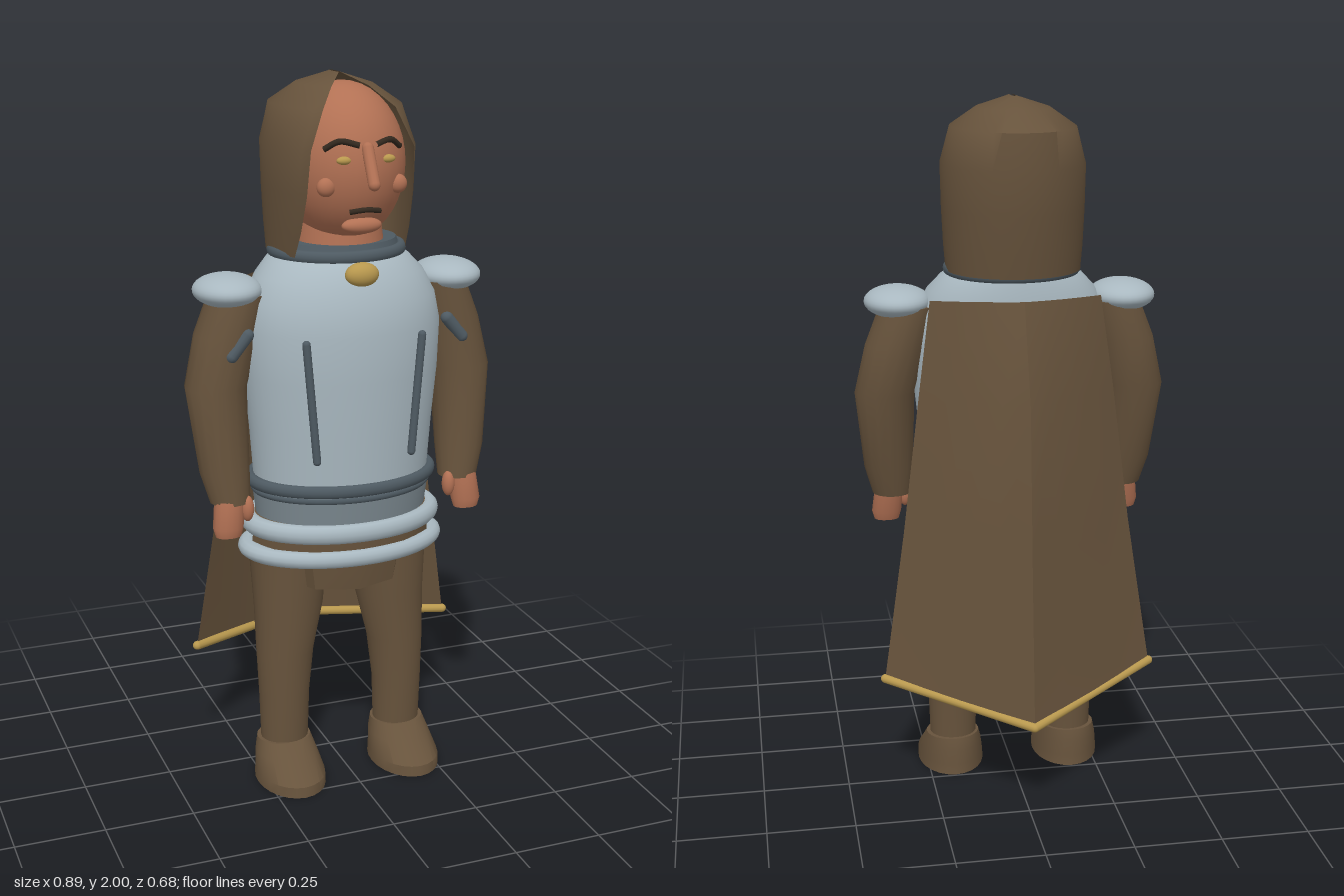
import * as THREE from 'three';
import { toCreasedNormals } from 'three/addons/utils/BufferGeometryUtils.js';

const V = (x, y, z) => new THREE.Vector3(x, y, z);

// Surface through rows of points, each row having the same count
function skin(rows, crease = 0.7) {
  const pos = rows.flat().flatMap(p => [p.x, p.y, p.z]);
  const n = rows[0].length, idx = [];
  for (let i = 0; i < rows.length - 1; i++) {
    for (let j = 0; j < n - 1; j++) {
      const a = i * n + j, d = a + n;
      idx.push(a, a + 1, d + 1, a, d + 1, d);
    }
  }
  const g = new THREE.BufferGeometry();
  g.setAttribute('position', new THREE.Float32BufferAttribute(pos, 3));
  g.setIndex(idx);
  return toCreasedNormals(g, crease);
}

// Closed solid through elliptical sections [x, y, z, rx, rz], listed bottom to top
function loft(sections, n = 32, crease = 0.7) {
  const first = [...sections[0]], last = [...sections[sections.length - 1]];
  first[3] = first[4] = last[3] = last[4] = 0;
  return skin([first, ...sections, last].map(([x, y, z, rx, rz]) =>
    Array.from({ length: n + 1 }, (_, j) => {
      const t = (j % n) / n * Math.PI * 2;
      return V(x + rx * Math.sin(t), y, z + rz * Math.cos(t));
    })), crease);
}

export function createModel() {
  const model = new THREE.Group();
  model.name = 'cloakedKnight';
  const mat = (name, color, side = THREE.FrontSide) => {
    const m = new THREE.MeshStandardMaterial({ color, side });
    m.name = name;
    return m;
  };
  const cloth = mat('brownCloth', 0x67533c, THREE.DoubleSide);
  const skinTone = mat('skin', 0xb27154);
  const steel = mat('steel', 0xa9b8c0);
  const midSteel = mat('shadedSteel', 0x7c8990);
  const dark = mat('darkSteel', 0x4e5a62);
  const gold = mat('gold', 0xb8984e);
  const hair = mat('darkHair', 0x33291f);

  const add = (name, geometry, material, x = 0, y = 0, z = 0) => {
    const m = new THREE.Mesh(geometry, material);
    m.name = name;
    m.position.set(x, y, z);
    model.add(m);
    return m;
  };
  const ball = (name, material, x, y, z, rx, ry, rz) => {
    const m = add(name, new THREE.SphereGeometry(1, 32, 20), material, x, y, z);
    m.scale.set(rx, ry, rz);
    return m;
  };
  const tube = (name, material, points, r, segments = 16) =>
    add(name, new THREE.TubeGeometry(new THREE.CatmullRomCurve3(points), segments, r, 8), material);
  // Rod with rounded ends between two points
  const rod = (name, material, a, b, r) => {
    const m = add(name, new THREE.CapsuleGeometry(r, a.distanceTo(b), 6, 12), material);
    m.position.copy(a).lerp(b, 0.5);
    m.quaternion.setFromUnitVectors(V(0, 1, 0), b.clone().sub(a).normalize());
  };
  // Elliptical hoop lying flat, with its own tube height
  const hoop = (name, material, y, z, rx, rz, tubeR, height) => {
    const g = new THREE.TorusGeometry(1, tubeR / rx, 12, 48).rotateX(Math.PI / 2);
    add(name, g, material, 0, y, z).scale.set(rx, height * rx / tubeR, rz);
  };

  // Breastplate, tunic and waist
  add('breastplate', loft([
    [0, 0.89, 0.085, 0.25, 0.185], [0, 1.05, 0.085, 0.262, 0.193], [0, 1.2, 0.085, 0.277, 0.2],
    [0, 1.33, 0.085, 0.282, 0.202], [0, 1.41, 0.08, 0.268, 0.195], [0, 1.47, 0.07, 0.237, 0.18],
    [0, 1.51, 0.06, 0.2, 0.165], [0, 1.53, 0.05, 0.17, 0.15]], 48), steel);
  add('waistBand', loft([[0, 0.79, 0.085, 0.245, 0.175], [0, 0.89, 0.085, 0.258, 0.185]], 48), midSteel);
  hoop('upperBelt', dark, 0.9, 0.085, 0.26, 0.188, 0.016, 0.018);
  hoop('lowerBelt', dark, 0.872, 0.085, 0.25, 0.18, 0.01, 0.01);
  hoop('upperTasset', steel, 0.775, 0.085, 0.262, 0.18, 0.028, 0.028);
  hoop('lowerTasset', steel, 0.7, 0.085, 0.27, 0.175, 0.03, 0.024);
  add('tunic', loft([[0, 0.69, 0.09, 0.265, 0.17], [0, 0.8, 0.09, 0.262, 0.172]], 12), cloth);
  add('hips', loft([[0, 0.595, 0.1, 0.165, 0.135], [0, 0.7, 0.1, 0.185, 0.145]], 8), cloth);

  // Gorget and clasp
  add('neck', new THREE.CylinderGeometry(0.11, 0.13, 0.16, 32), skinTone, 0, 1.56, 0.07);
  hoop('gorgetRing', dark, 1.53, 0.05, 0.178, 0.158, 0.015, 0.018);
  add('gorget', loft([[0, 1.52, 0.05, 0.18, 0.16], [0, 1.56, 0.05, 0.165, 0.145]], 40), dark);
  ball('clasp', gold, 0, 1.49, 0.24, 0.047, 0.033, 0.03);

  for (const s of [-1, 1]) {
    const side = s > 0 ? 'left' : 'right';
    // Leg and boot
    add(side + 'Leg', loft([
      [s * 0.175, 0.09, 0.09, 0.068, 0.062], [s * 0.175, 0.25, 0.09, 0.073, 0.068],
      [s * 0.17, 0.38, 0.085, 0.083, 0.076], [s * 0.155, 0.52, 0.075, 0.1, 0.092],
      [s * 0.15, 0.7, 0.065, 0.115, 0.108]], 24), cloth);
    add(side + 'Boot', loft([
      [s * 0.177, 0, 0.143, 0.098, 0.138], [s * 0.177, 0.03, 0.143, 0.097, 0.134],
      [s * 0.177, 0.075, 0.108, 0.088, 0.1], [s * 0.177, 0.112, 0.088, 0.078, 0.072]], 24), cloth);
    // Arm and hand
    add(side + 'Arm', loft([
      [s * 0.34, 0.865, 0.13, 0.056, 0.053], [s * 0.35, 0.95, 0.115, 0.07, 0.062],
      [s * 0.36, 1.18, 0.08, 0.085, 0.083], [s * 0.325, 1.32, 0.07, 0.088, 0.09],
      [s * 0.29, 1.43, 0.07, 0.08, 0.085]], 16), cloth);
    add(side + 'Hand', loft([
      [s * 0.355, 0.775, 0.16, 0.036, 0.026], [s * 0.355, 0.8, 0.158, 0.043, 0.034],
      [s * 0.347, 0.875, 0.145, 0.042, 0.036]], 16), skinTone);
    ball(side + 'Thumb', skinTone, s * 0.3, 0.848, 0.16, 0.018, 0.037, 0.02);
    // Armour trim
    ball(side + 'Pauldron', steel, s * 0.32, 1.44, 0.072, 0.093, 0.045, 0.107);
    rod(side + 'ArmStrap', dark, V(s * 0.335, 1.275, 0.15), V(s * 0.29, 1.33, 0.15), 0.018);
    rod(side + 'ChestRib', dark, V(s * 0.165, 1.32, 0.265), V(s * 0.137, 0.995, 0.268), 0.011);
    // Facial features in pairs
    ball(side + 'Eye', gold, s * 0.06, 1.795, 0.264, 0.021, 0.011, 0.012);
    ball(side + 'Cheek', skinTone, s * 0.1, 1.725, 0.238, 0.025, 0.025, 0.02);
    tube(side + 'Brow', hair, [V(s * 0.022, 1.833, 0.275), V(s * 0.07, 1.843, 0.257), V(s * 0.105, 1.822, 0.235)], 0.008);
  }

  // Head
  ball('head', skinTone, 0, 1.768, 0.09, 0.166, 0.213, 0.192);
  rod('nose', skinTone, V(0, 1.825, 0.275), V(0, 1.738, 0.322), 0.016);
  tube('moustache', hair, [V(-0.043, 1.66, 0.258), V(0, 1.666, 0.27), V(0.043, 1.66, 0.258)], 0.007);
  ball('lowerLip', skinTone, 0, 1.62, 0.236, 0.056, 0.022, 0.024);

  // Hood: rows of [y, half width, back reach, front reach, opening half width]
  const hoodRows = [
    [1.53, 0.187, 0.18, 0.23, 0.157], [1.6, 0.192, 0.193, 0.27, 0.153], [1.7, 0.196, 0.21, 0.3, 0.148],
    [1.82, 0.198, 0.225, 0.31, 0.143], [1.92, 0.172, 0.218, 0.23, 0.1],
    [1.97, 0.1, 0.135, 0.14, 0.052], [2.0, 0.006, 0.03, 0.045, 0.002]];
  add('hood', skin(hoodRows.map(([y, w, back, front, open]) => {
    const a = Math.asin(open / w);
    return Array.from({ length: 41 }, (_, j) => {
      const t = a + (Math.PI * 2 - 2 * a) * j / 40, c = Math.cos(t);
      return V(w * Math.sin(t), y, 0.03 + c * (c > 0 ? front : back));
    });
  }), 0.9), cloth);

  // Cape: rows of [edge y, middle y, half width, edge z, middle z], folded down the middle
  const capeRows = [
    [1.455, 1.47, 0.24, -0.02, -0.155], [1.2, 1.2, 0.275, -0.035, -0.25],
    [0.8, 0.76, 0.325, -0.04, -0.285], [0.36, 0.3, 0.39, -0.06, -0.328]];
  const capePoints = capeRows.map(([ye, ym, w, ze, zm]) =>
    [-1, -0.75, -0.5, -0.25, 0, 0.25, 0.5, 0.75, 1].map(u => {
      const k = Math.abs(u);
      return V(u * w, ym + (ye - ym) * k, zm + (ze - zm) * k - 0.008 * Math.sin(k * Math.PI));
    }));
  add('cape', skin(capePoints), cloth);
  const hem = capePoints[3];
  for (const part of [hem.slice(0, 5), hem.slice(4)]) {
    rod('capeHem', gold, part[0], part[4], 0.013);
  }
  return model;
}
